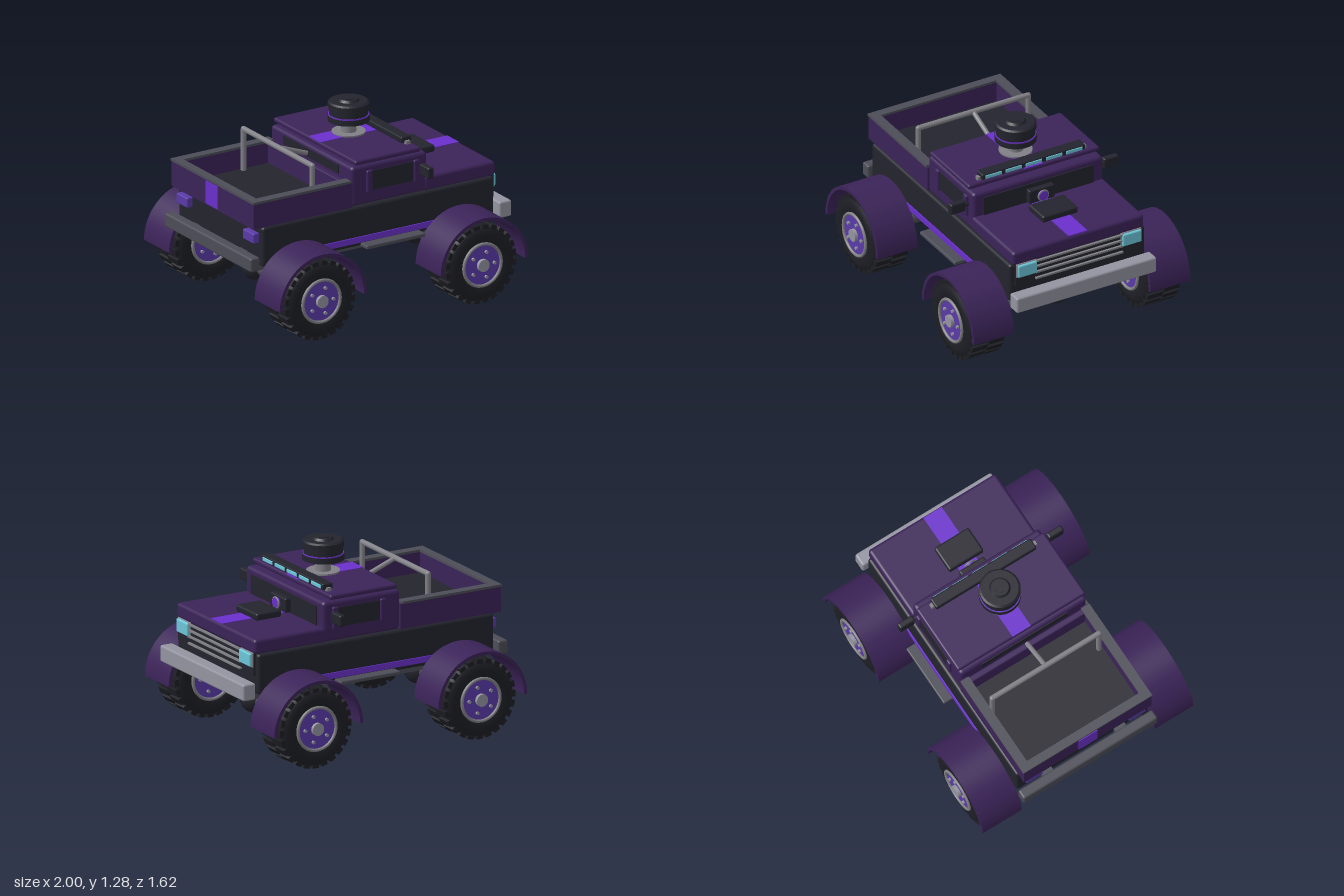
import * as THREE from 'three';
import { RoundedBoxGeometry } from 'three/addons/geometries/RoundedBoxGeometry.js';

const mat = (name, color, side = THREE.FrontSide) => {
  const m = new THREE.MeshStandardMaterial({ color, side });
  m.name = name;
  return m;
};

export function createModel() {
  const purple = mat('deep purple paint', 0x3b2358);
  const violet = mat('bright violet', 0x6a2fcb);
  const rimViolet = mat('rim violet', 0x5a3aa8);
  const black = mat('dark trim', 0x23242d);
  const rubber = mat('tyre rubber', 0x1d1e24);
  const grey = mat('dark grey metal', 0x4c4d57);
  const silver = mat('silver bumper', 0x9394a0);
  const steel = mat('steel tube', 0x808086);
  const cyan = mat('cyan lamp', 0x6cc6d9);

  const root = new THREE.Group();
  root.name = 'truck';

  const add = (name, geo, material, parent = root) => {
    const m = new THREE.Mesh(geo, material);
    m.name = name;
    parent.add(m);
    return m;
  };
  // box given by its extents, with optional rounded edges
  const box = (name, material, x0, x1, y0, y1, z0, z1, r = 0, parent = root) => {
    const s = [x1 - x0, y1 - y0, z1 - z0];
    const geo = r ? new RoundedBoxGeometry(...s, 3, r) : new THREE.BoxGeometry(...s);
    const m = add(name, geo, material, parent);
    m.position.set((x0 + x1) / 2, (y0 + y1) / 2, (z0 + z1) / 2);
    return m;
  };
  // the same box on both sides
  const pair = (name, material, x0, x1, y0, y1, z0, z1, r) => {
    box(name + 'Left', material, x0, x1, y0, y1, z0, z1, r);
    box(name + 'Right', material, x0, x1, y0, y1, -z1, -z0, r);
  };
  // round bar between two points
  const bar = (name, material, a, b, r, parent = root) => {
    const p = new THREE.Vector3(...a), q = new THREE.Vector3(...b);
    const m = add(name, new THREE.CylinderGeometry(r, r, p.distanceTo(q), 20), material, parent);
    m.position.copy(p).lerp(q, 0.5);
    m.quaternion.setFromUnitVectors(new THREE.Vector3(0, 1, 0), q.sub(p).normalize());
    return m;
  };

  // chassis and lower body
  box('frame', grey, -0.85, 0.85, 0.395, 0.48, -0.36, 0.36);
  box('underPlate', black, -0.8, 0.8, 0.39, 0.4, -0.33, 0.33);
  box('lowerBody', black, -0.9, 0.875, 0.47, 0.742, -0.505, 0.505, 0.02);
  pair('sideStripe', violet, -0.6, 0.6, 0.497, 0.537, 0.505, 0.514);
  pair('runningBoard', grey, -0.15, 0.3, 0.465, 0.492, 0.49, 0.58, 0.008);

  // open cargo bed
  box('bedFloor', black, -0.94, -0.22, 0.74, 0.77, -0.45, 0.45);
  pair('bedSide', purple, -0.962, -0.205, 0.74, 0.912, 0.435, 0.49);
  box('tailgate', purple, -0.963, -0.91, 0.74, 0.912, -0.489, 0.489);
  box('bedFront', purple, -0.255, -0.212, 0.74, 0.914, -0.48, 0.48, 0.01);
  pair('bedRail', grey, -0.965, -0.215, 0.91, 0.926, 0.43, 0.495);
  box('tailgateRail', grey, -0.965, -0.905, 0.91, 0.926, -0.43, 0.43);
  box('tailgateStripe', violet, -0.969, -0.962, 0.75, 0.905, -0.07, 0.07);

  // roll bar
  for (const s of [-1, 1]) {
    bar('rollBarPost', steel, [-0.46, 0.76, 0.41 * s], [-0.46, 1.055, 0.41 * s], 0.018);
    add('rollBarCorner', new THREE.SphereGeometry(0.018, 16, 12), steel).position.set(-0.46, 1.055, 0.41 * s);
  }
  bar('rollBarTop', steel, [-0.46, 1.055, -0.41], [-0.46, 1.055, 0.41], 0.018);
  bar('rollBarBrace', steel, [-0.45, 1.05, 0], [-0.24, 0.97, 0], 0.016);

  // cab
  box('cab', purple, -0.205, 0.375, 0.74, 1.01, -0.485, 0.485, 0.025);
  box('roof', purple, -0.18, 0.322, 1.018, 1.052, -0.49, 0.49, 0.014);
  box('roofSpacer', black, -0.15, 0.29, 1.0, 1.02, -0.45, 0.45);
  box('windshield', black, 0.37, 0.384, 0.835, 0.97, -0.41, 0.41);
  box('rearWindow', black, -0.21, -0.203, 0.925, 0.985, -0.33, 0.33);
  pair('sideWindow', black, -0.05, 0.266, 0.832, 0.962, 0.484, 0.49);
  for (const x of [-0.095, 0.266]) pair('windowPost', purple, x, x + 0.044, 0.82, 0.972, 0.475, 0.502, 0.01);
  pair('mirror', black, 0.29, 0.335, 0.875, 0.952, 0.515, 0.628, 0.012);
  pair('mirrorArm', black, 0.305, 0.32, 0.902, 0.918, 0.48, 0.52);
  box('roofStripe', violet, -0.178, 0.32, 1.05, 1.0545, -0.07, 0.07);

  // hood with scoop and charger intake
  box('hood', purple, 0.35, 0.895, 0.74, 0.84, -0.49, 0.49, 0.022);
  box('hoodStripe', violet, 0.376, 0.885, 0.838, 0.8435, -0.07, 0.07);
  box('hoodStripeFront', violet, 0.89, 0.898, 0.765, 0.825, -0.07, 0.07).visible = false;
  box('hoodScoop', black, 0.475, 0.663, 0.838, 0.886, -0.132, 0.132, 0.014);
  box('intakeBox', black, 0.38, 0.425, 0.845, 0.942, -0.095, 0.095, 0.01);
  bar('intakeCap', violet, [0.42, 0.895, 0], [0.448, 0.895, 0], 0.033);
  const ring = add('intakeRing', new THREE.TorusGeometry(0.036, 0.006, 10, 28), steel);
  ring.rotation.y = Math.PI / 2;
  ring.position.set(0.44, 0.895, 0);

  // grille, lamps and bumpers
  box('grille', black, 0.87, 0.892, 0.59, 0.745, -0.47, 0.47);
  for (const y of [0.738, 0.697, 0.656, 0.61]) box('grilleBar', steel, 0.885, 0.908, y - 0.006, y + 0.006, -0.325, 0.325);
  pair('headlightFrame', steel, 0.87, 0.9, 0.648, 0.75, 0.312, 0.468, 0.008);
  pair('headlight', cyan, 0.88, 0.916, 0.655, 0.744, 0.319, 0.461, 0.01);
  box('frontBumper', silver, 0.905, 1.0, 0.45, 0.562, -0.522, 0.522, 0.014);
  box('rearBumper', grey, -1.0, -0.928, 0.457, 0.552, -0.515, 0.515, 0.014);
  pair('frontBumperMount', grey, 0.84, 0.92, 0.475, 0.53, 0.24, 0.32);
  pair('rearBumperMount', grey, -0.94, -0.84, 0.475, 0.53, 0.24, 0.32);
  pair('tailLight', rimViolet, -0.945, -0.895, 0.627, 0.697, 0.33, 0.46, 0.01);

  // roof light bar
  box('lightBar', black, 0.24, 0.318, 1.058, 1.1, -0.385, 0.385, 0.01);
  for (let i = -2; i <= 2; i++) {
    const z = i * 0.1505;
    box('lightBarLamp', cyan, 0.31, 0.323, 1.064, 1.09, z - 0.061, z + 0.061, 0.005);
  }
  pair('lightBarFoot', steel, 0.265, 0.295, 1.045, 1.075, 0.375, 0.405);

  // roof turret
  const turret = new THREE.Group();
  turret.name = 'turret';
  turret.position.set(0.083, 0, 0);
  root.add(turret);
  const disc = (name, material, r0, r1, y0, y1) => {
    add(name, new THREE.CylinderGeometry(r1, r0, y1 - y0, 40), material, turret).position.y = (y0 + y1) / 2;
  };
  disc('turretBase', steel, 0.11, 0.11, 1.05, 1.062);
  disc('turretPedestal', steel, 0.052, 0.052, 1.06, 1.14);
  disc('turretLowerDisc', black, 0.137, 0.137, 1.137, 1.175);
  disc('turretBand', violet, 0.134, 0.134, 1.175, 1.182);
  disc('turretDrum', black, 0.128, 0.128, 1.182, 1.25);
  disc('turretLip', black, 0.135, 0.135, 1.225, 1.26);
  disc('turretTop', black, 0.135, 0.122, 1.26, 1.27);
  disc('turretCap', black, 0.07, 0.058, 1.27, 1.285);
  disc('turretButton', black, 0.038, 0.038, 1.285, 1.289);

  // wheel, the same on both faces
  const tyreProfile = [[0.14, -0.11], [0.155, -0.128], [0.2, -0.132], [0.235, -0.122], [0.252, -0.105],
    [0.255, 0], [0.252, 0.105], [0.235, 0.122], [0.2, 0.132], [0.155, 0.128], [0.14, 0.11]]
    .map(p => new THREE.Vector2(...p));
  const tyreGeo = new THREE.LatheGeometry(tyreProfile, 56).rotateX(Math.PI / 2);
  const treadGeo = new THREE.BoxGeometry(0.034, 0.044, 0.115);
  const makeWheel = () => {
    const w = new THREE.Group();
    w.name = 'wheel';
    add('tyre', tyreGeo, rubber, w);
    bar('rimDisc', rimViolet, [0, 0, -0.128], [0, 0, 0.128], 0.142, w);
    bar('hub', silver, [0, 0, -0.152], [0, 0, 0.152], 0.042, w);
    for (const s of [-1, 1]) {
      add('rimRing', new THREE.TorusGeometry(0.143, 0.011, 10, 48), steel, w).position.z = s * 0.131;
      for (let i = 0; i < 24; i++) {
        const a = (i + (s > 0 ? 0.5 : 0)) * Math.PI / 12;
        const t = add('tread', treadGeo, rubber, w);
        t.position.set(0.252 * Math.cos(a), 0.252 * Math.sin(a), s * 0.0595);
        t.rotation.z = a;
      }
    }
    for (let i = 0; i < 5; i++) {
      const a = i * Math.PI * 0.4, x = 0.09 * Math.cos(a), y = 0.09 * Math.sin(a);
      bar('bolt', silver, [x, y, -0.142], [x, y, 0.142], 0.011, w);
    }
    return w;
  };

  // half-round fender
  const arch = new THREE.Shape();
  arch.absarc(0, 0, 0.335, 0, Math.PI, false);
  arch.absarc(0, 0, 0.313, Math.PI, 0, true);
  const archGeo = new THREE.ExtrudeGeometry(arch, { depth: 0.298, bevelEnabled: false, curveSegments: 40 });

  // axles with wheels, fenders and suspension
  for (const x of [-0.632, 0.604]) {
    bar('axle', grey, [x, 0.275, -0.53], [x, 0.275, 0.53], 0.041);
    add('differential', new THREE.SphereGeometry(0.092, 32, 24), black).position.set(x, 0.275, 0);
    for (const s of [-1, 1]) {
      const wheel = makeWheel();
      wheel.position.set(x, 0.275, s * 0.655);
      root.add(wheel);
      add('fender', archGeo, purple).position.set(x, 0.268, s > 0 ? 0.51 : -0.808);
      bar('spring', rimViolet, [x, 0.28, s * 0.41], [x, 0.49, s * 0.385], 0.032);
      bar('shock', steel, [x + 0.06, 0.28, s * 0.405], [x + 0.06, 0.49, s * 0.44], 0.016);
    }
  }

  // drop the unused hidden plate
  root.children.filter(c => !c.visible).forEach(c => root.remove(c));
  return root;
}
